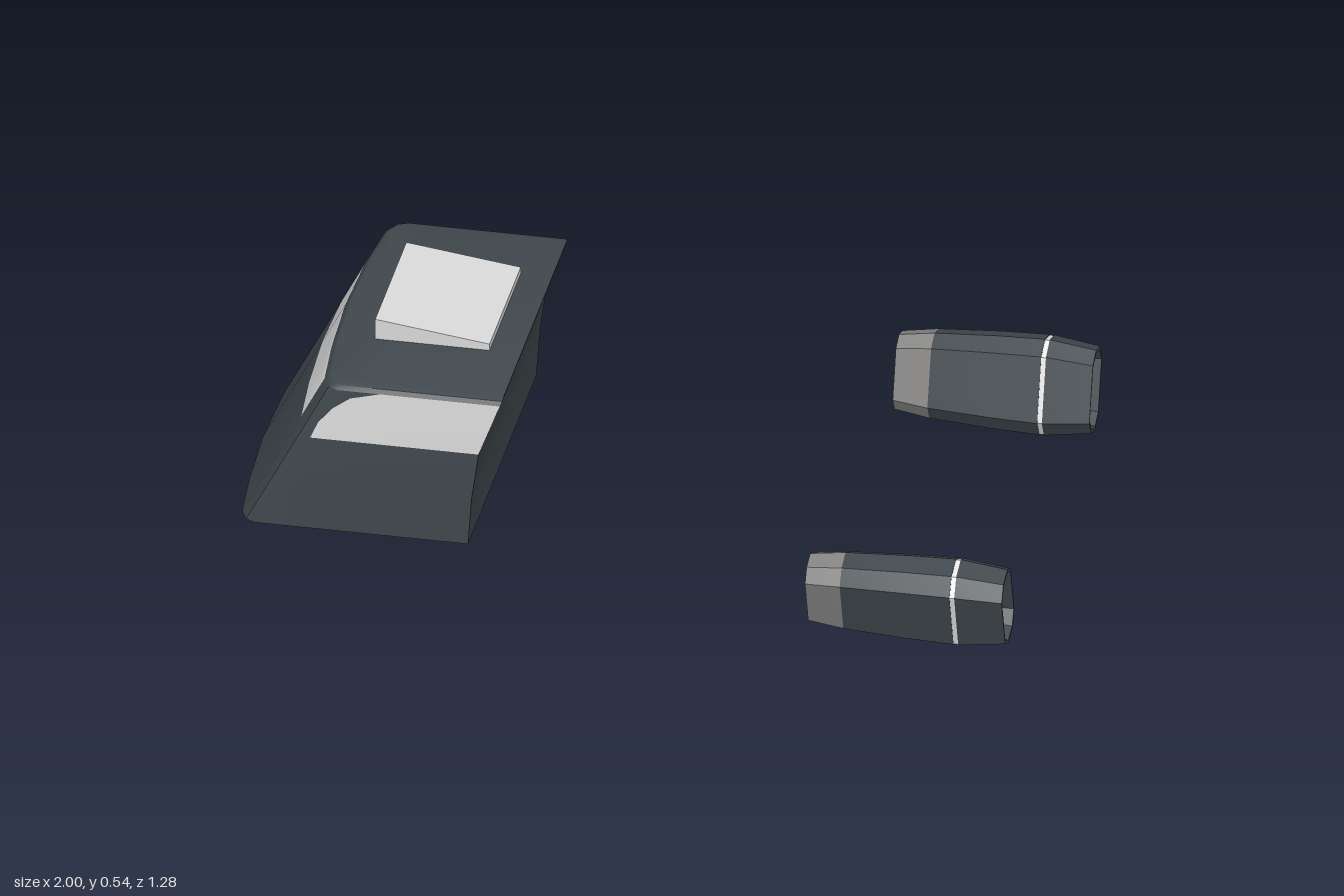
import * as THREE from 'three';
import { toCreasedNormals } from 'three/addons/utils/BufferGeometryUtils.js';

const mat = (name, color) => {
  const m = new THREE.MeshStandardMaterial({ color });
  m.name = name;
  return m;
};

// Skin a stack of closed rings; pick(row, segment) gives each quad's material index
function loft(rings, pick, { start = -1, end = -1, crease = 0.5 } = {}) {
  const buckets = [[], [], [], []];
  const n = rings[0].length;
  const add = (k, ...pts) => pts.forEach((p) => buckets[k].push(...p));
  for (let i = 0; i < rings.length - 1; i++) {
    for (let j = 0; j < n; j++) {
      const a = rings[i][j], b = rings[i][(j + 1) % n];
      const d = rings[i + 1][j], c = rings[i + 1][(j + 1) % n];
      add(pick(i, j), a, b, c, a, c, d);
    }
  }
  const cap = (ring, k, flip) => {
    const mid = [0, 1, 2].map((q) => ring.reduce((s, p) => s + p[q], 0) / n);
    ring.forEach((p, j) => {
      const q = ring[(j + 1) % n];
      if (flip) add(k, mid, q, p); else add(k, mid, p, q);
    });
  };
  if (start >= 0) cap(rings[0], start, true);
  if (end >= 0) cap(rings[rings.length - 1], end, false);
  const geo = new THREE.BufferGeometry();
  geo.setAttribute('position', new THREE.Float32BufferAttribute(buckets.flat(), 3));
  let first = 0;
  buckets.forEach((b, k) => {
    if (b.length) geo.addGroup(first, b.length / 3, k);
    first += b.length / 3;
  });
  return toCreasedNormals(geo, crease);
}

export function createModel() {
  const dark = mat('dark slate', 0x40484d);
  const light = mat('light grey', 0xdadada);
  const grey = mat('mid grey', 0x858483);
  const white = mat('seam white', 0xf2f2f2);
  const mats = [dark, light, grey, white];
  const model = new THREE.Group();
  const add = (parent, name, geo, material) => {
    const mesh = new THREE.Mesh(geo, material);
    mesh.name = name;
    parent.add(mesh);
    return mesh;
  };

  // Cabin: [y, xRight, zFront, zBack, curved window end x, top rounding]
  const levels = [
    [0.07, -0.395, 0.415, -0.44, -0.8, 0],
    [0.2, -0.386, 0.416, -0.44, -0.8, 0],
    [0.33, -0.368, 0.416, -0.44, -0.795, 0],
    [0.375, -0.351, 0.414, -0.436, -0.775, 0],
    [0.417, -0.335, 0.412, -0.433, -0.74, 0],
    [0.45, -0.323, 0.41, -0.43, -0.695, 0],
    [0.47, -0.315, 0.409, -0.428, -0.62, 0],
    [0.481, -0.311, 0.402, -0.42, -0.62, 0.006],
    [0.487, -0.31, 0.385, -0.402, -0.62, 0.035],
  ];
  const cabinRings = levels.map(([y, xR, zF, zB, wx, round], level) => {
    // the band's lower edge rises slightly across the sloped end
    const p = (dx, z, lift = 0) => {
      const yy = y + (level === 2 ? lift : 0);
      return [-1 + 0.52 * (yy - 0.07) + round + dx, yy, z];
    };
    return [
      p(0.065, zF), [wx, y, zF], [xR, y, zF], [xR, y, zB],
      p(0.065, zB), p(0.04, zB + 0.012, 0.01), p(0.025, zB + 0.04, 0.02),
      p(0.008, -0.23, 0.027), p(0, -0.01, 0.03), p(0.008, 0.2, 0.03),
      p(0.022, zF - 0.05, 0.03), p(0.04, zF - 0.012, 0.01),
    ];
  });
  const isBand = (i, j) => (i >= 2 && i <= 5 && j >= 1 && j <= 9 ? 1 : 0);
  add(model, 'cabin', loft(cabinRings, isBand, { start: 0, end: 0 }), mats);

  // Wedge-shaped roof hatch
  const wedge = new THREE.Shape([
    new THREE.Vector2(-0.68, 0.48), new THREE.Vector2(-0.39, 0.48),
    new THREE.Vector2(-0.39, 0.505), new THREE.Vector2(-0.68, 0.543),
  ]);
  const hatch = new THREE.ExtrudeGeometry(wedge, { depth: 0.39, bevelEnabled: false });
  add(model, 'roofHatch', hatch.translate(0, 0, -0.22), light);

  // Engine pods: chamfered section [y, z] scaled along x
  const section = [
    [0.085, 0.069], [-0.085, 0.069], [-0.122, 0.03], [-0.122, -0.03],
    [-0.085, -0.069], [0.085, -0.069], [0.122, -0.03], [0.122, 0.03],
  ];
  const ring = ([x, s]) => section.map(([y, z]) => [x, y * s, z * s]);
  const stations = [
    [0.5, 0.78], [0.59, 0.89], [0.75, 0.97], [0.87, 1],
    [0.87, 0.985], [0.882, 0.985], [0.882, 1], [1, 0.87],
    [1, 0.8], [0.94, 0.75],
  ];
  const podColour = (i) => (i === 0 ? 2 : i === 4 ? 3 : 0);
  const podGeo = loft(stations.map(ring), podColour, { start: 2, end: 1, crease: 0.3 });
  for (const side of [1, -1]) {
    const pod = add(model, side > 0 ? 'frontPod' : 'rearPod', podGeo, mats);
    pod.position.set(0, 0.127, side * 0.548);
    pod.rotation.x = side * 0.305;
  }
  return model;
}
